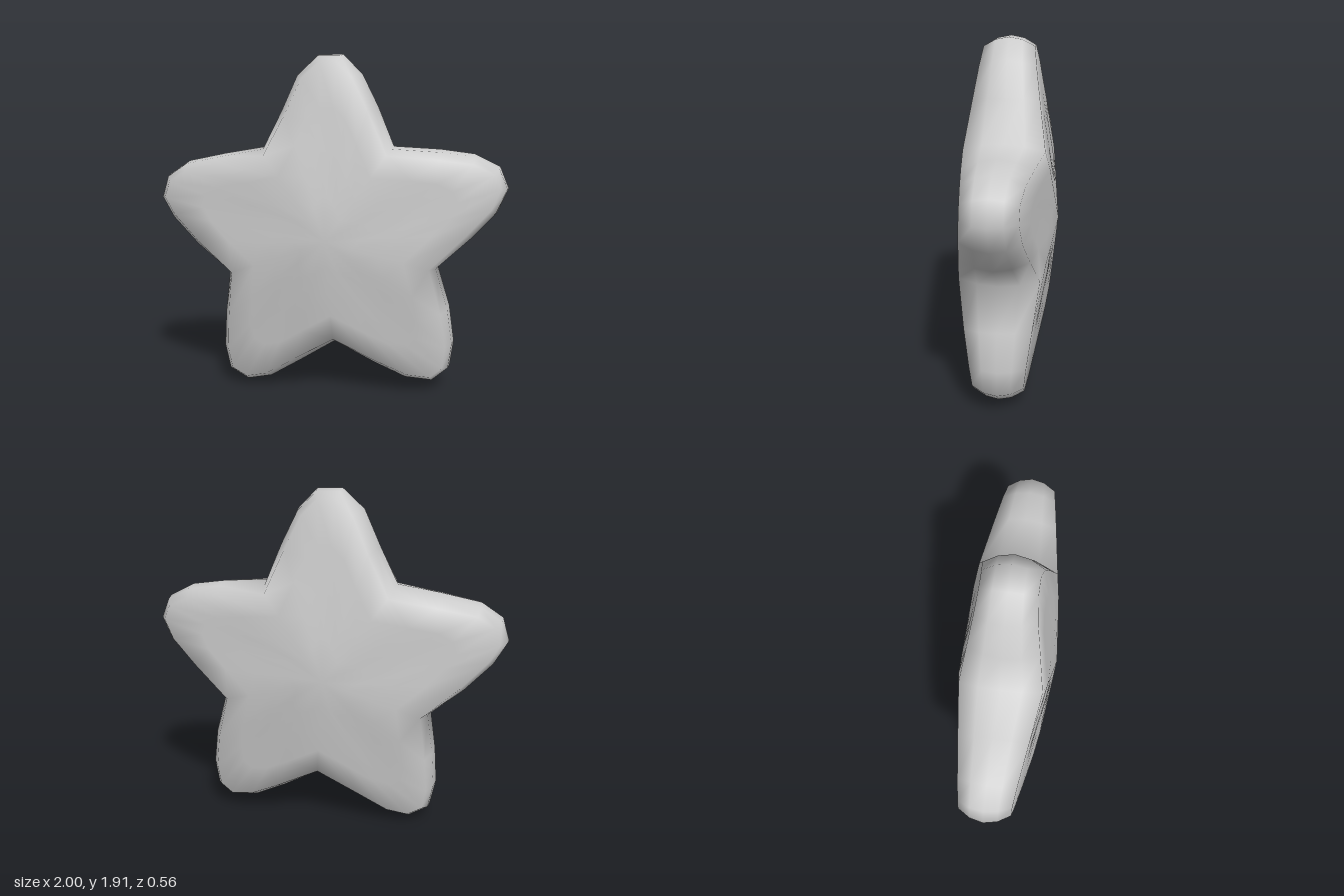
import * as THREE from 'three';

// Outline of the star, clockwise seen from the front, with slightly uneven arms
const OUTLINE = [
  [-0.07, 1.92], [0.07, 1.92], [0.18, 1.81], [0.27, 1.63], [0.36, 1.41],
  [0.62, 1.395], [0.81, 1.37], [0.95, 1.3], [1, 1.18], [0.94, 1.04], [0.8, 0.89], [0.62, 0.73],
  [0.69, 0.5], [0.72, 0.29], [0.7, 0.14], [0.6, 0.055], [0.44, 0.07], [0.26, 0.155], [0.04, 0.28],
  [-0.16, 0.15], [-0.34, 0.04], [-0.49, 0.01], [-0.61, 0.08], [-0.64, 0.23], [-0.625, 0.44], [-0.59, 0.68],
  [-0.78, 0.83], [-0.93, 0.985], [-1, 1.11], [-0.96, 1.24], [-0.84, 1.32], [-0.62, 1.365], [-0.38, 1.405],
  [-0.28, 1.61], [-0.19, 1.81],
].map(([x, y]) => new THREE.Vector2(x, y));

const CENTRE = new THREE.Vector2(0, 0.9);
const ARMS = [[0, 1.92], [0.98, 1.2], [0.64, 0.07], [-0.53, 0.02], [-0.99, 1.14]]
  .map(([x, y]) => new THREE.Vector2(x, y).sub(CENTRE).normalize());

// Half thickness falls from the middle towards each arm tip
const THICKNESS = [[0, 0.28], [0.34, 0.24], [0.48, 0.213], [0.96, 0.14], [1.1, 0.12]];
function halfThickness(p) {
  const d = p.clone().sub(CENTRE);
  const u = Math.max(0, ...ARMS.map((arm) => arm.dot(d)));
  for (let k = 1; k < THICKNESS.length; k++) {
    const [u0, z0] = THICKNESS[k - 1], [u1, z1] = THICKNESS[k];
    if (u <= u1) return THREE.MathUtils.mapLinear(u, u0, u1, z0, z1);
  }
  return 0.12;
}

// Outline moved inwards along its normals
function insetOutline(amount) {
  const n = OUTLINE.length;
  return OUTLINE.map((p, i) => {
    const t = OUTLINE[(i + 1) % n].clone().sub(OUTLINE[(i + n - 1) % n]).normalize();
    return new THREE.Vector2(p.x + t.y * amount, p.y - t.x * amount);
  });
}

function starGeometry() {
  const n = OUTLINE.length;
  const edge = insetOutline(0.055);

  // Front half: face rings growing from the centre, then the rounded rim
  const front = [0.25, 0.5, 0.75, 1].map((s) => edge.map((e) => {
    const p = CENTRE.clone().lerp(e, s);
    return [p.x, p.y, halfThickness(p)];
  }));
  front.push(insetOutline(0.015).map((p, i) => [p.x, p.y, halfThickness(edge[i]) * 0.52]));
  const rim = OUTLINE.map((p) => [p.x, p.y, 0]);
  const back = front.map((ring) => ring.map(([x, y, z]) => [x, y, -z])).reverse();
  const rings = [...front, rim, ...back];

  const positions = rings.flat(2);
  const frontCentre = rings.length * n, backCentre = frontCentre + 1;
  positions.push(CENTRE.x, CENTRE.y, 0.28, CENTRE.x, CENTRE.y, -0.28);

  const index = [];
  const last = (rings.length - 1) * n;
  for (let i = 0; i < n; i++) {
    const k = (i + 1) % n;
    index.push(frontCentre, k, i, backCentre, last + i, last + k);
    for (let j = 0; j < last; j += n) {
      index.push(j + i, j + k, j + n + i, j + k, j + n + k, j + n + i);
    }
  }

  const geometry = new THREE.BufferGeometry();
  geometry.setAttribute('position', new THREE.Float32BufferAttribute(positions, 3));
  geometry.setIndex(index);
  geometry.computeVertexNormals();
  return geometry;
}

export function createModel() {
  const group = new THREE.Group();
  group.name = 'puffyStar';
  const star = new THREE.Mesh(starGeometry(), new THREE.MeshStandardMaterial({ color: 0xcccccc }));
  star.name = 'starBody';
  group.add(star);
  return group;
}
